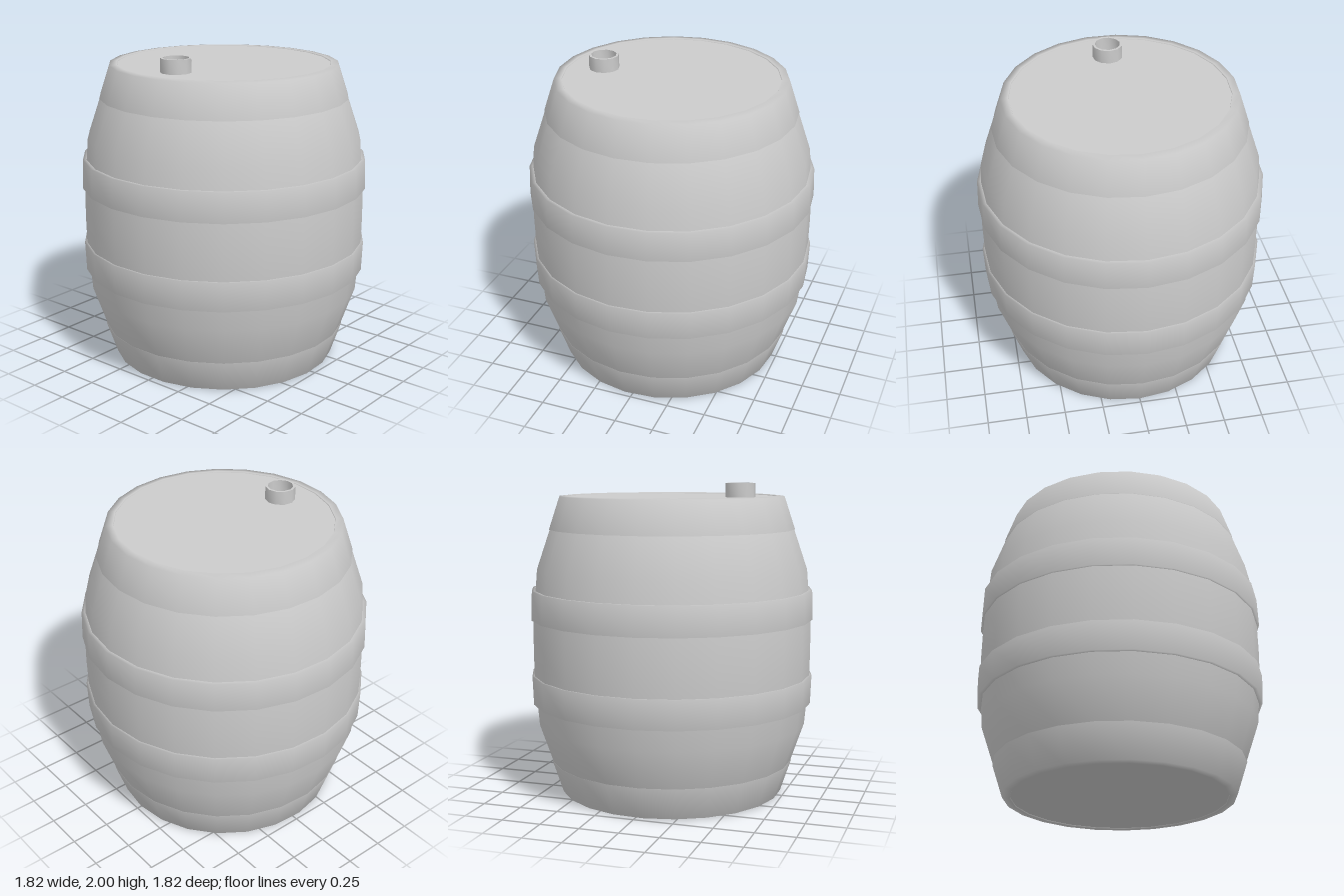
import * as THREE from 'three';
import { toCreasedNormals } from 'three/addons/utils/BufferGeometryUtils.js';

const SIDES = 23;
const MID = 0.96; // half height of the cask

export function createModel() {
  const group = new THREE.Group();
  const material = new THREE.MeshStandardMaterial({ color: 0xcccccc });

  const add = (name, geometry) => {
    const mesh = new THREE.Mesh(geometry, material);
    mesh.name = name;
    group.add(mesh);
    return mesh;
  };
  // Profiles are [radius, height] pairs running upwards; a corner points to the back
  const lathe = (profile, sides = SIDES) =>
    new THREE.LatheGeometry(profile.map(([r, y]) => new THREE.Vector2(r, y)), sides, Math.PI);
  // Same profile turned upside down about the middle of the cask
  const flip = (profile) => profile.map(([r, y]) => [r, 2 * MID - y]).reverse();

  // Bulging body
  const upper = [[0.90, MID], [0.897, 1.14], [0.87, 1.46], [0.785, 1.71], [0.69, 1.9]];
  add('body', lathe([...flip(upper).slice(0, -1), ...upper]));

  // Hoops, softly shaded over their edges
  const middleHoop = [[0.885, 1.14], [0.912, 1.14], [0.905, 1.325], [0.87, 1.325]];
  const endHoop = [[0.76, 1.71], [0.79, 1.71], [0.722, 1.915], [0.675, 1.92], [0.672, 1.91]];
  for (const [name, profile] of [['MiddleHoop', middleHoop], ['EndHoop', endHoop]]) {
    add('upper' + name, lathe(profile));
    add('lower' + name, lathe(flip(profile)));
  }

  // Flat heads at both ends
  for (const [name, y, tilt] of [['topHead', 1.912, -1], ['bottomHead', 0.008, 1]]) {
    const head = new THREE.CircleGeometry(0.675, SIDES, Math.PI / 2);
    if (tilt > 0) head.rotateZ(Math.PI); // keep the corner at the back
    head.rotateX(tilt * Math.PI / 2);
    add(name, head).position.y = y;
  }

  // Hollow filler neck near the front of the top head
  const neck = lathe([[0.095, 1.91], [0.095, 2], [0.08, 2], [0.08, 1.91]], 11);
  add('fillerNeck', toCreasedNormals(neck, Math.PI / 4)).position.z = 0.452;

  return group;
}
